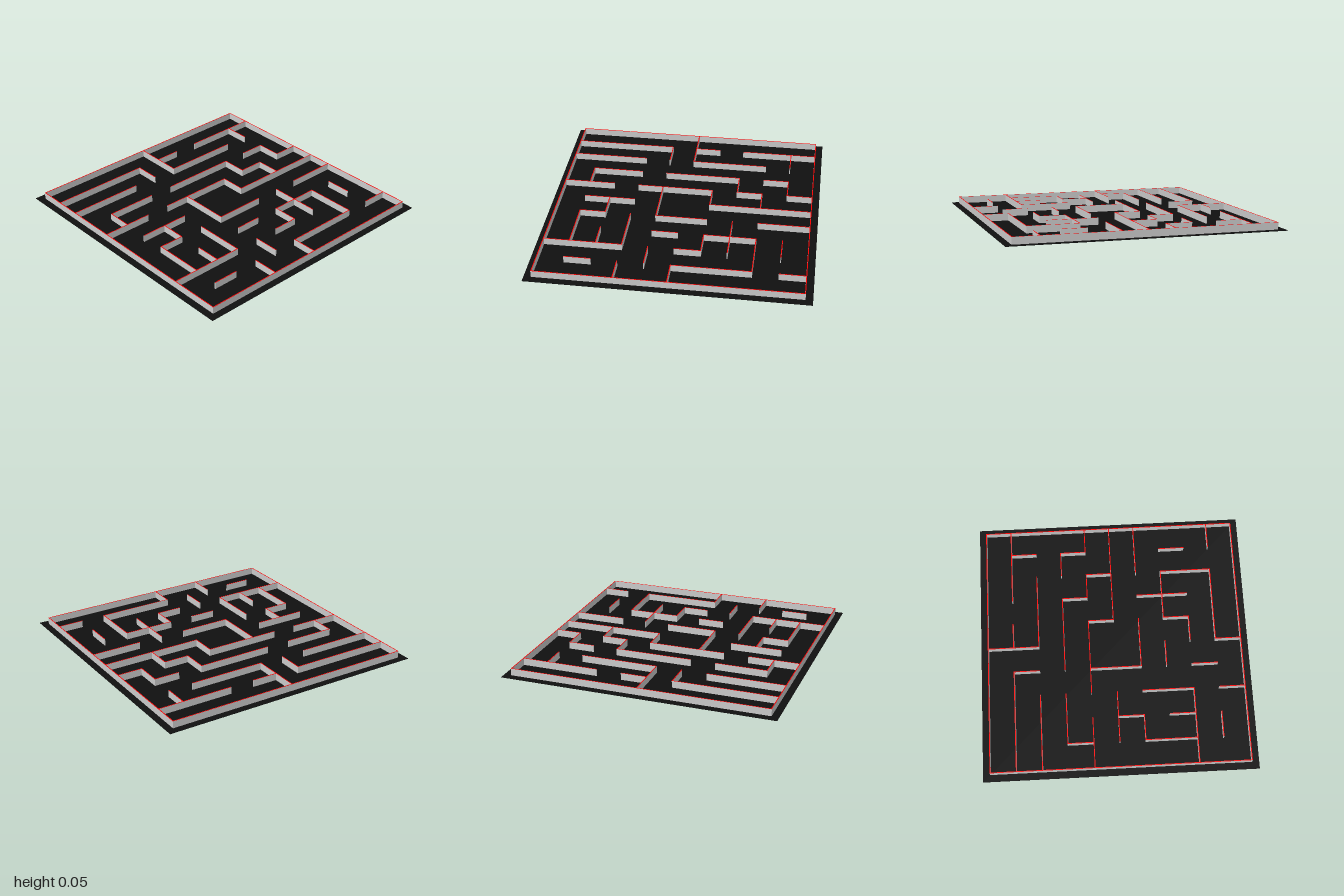
import * as THREE from 'three';

const CELL = 0.189, HALF = 5, THICK = 0.006;
const FLOOR = 0.002, TOP = 0.054, CAP = 0.001;

// Wall runs as [start, end] in cells, one list per grid line
const ROWS = [ // along x, from back to front
  [[0, 10]],
  [[1, 2], [3, 4], [7, 8]],
  [[4, 5], [7, 9]],
  [[3, 4], [6, 8]],
  [[4, 5], [7, 8]],
  [[0, 2], [9, 10]],
  [[1, 2], [4, 6], [8, 9]],
  [[6, 8], [9, 10]],
  [[5, 6], [7, 8]],
  [[3, 4], [6, 8]],
  [[0, 10]],
];
const COLUMNS = [ // along z, from -x to +x
  [[0, 10]],
  [[0, 3], [4, 5], [6, 10]],
  [[2, 5], [7, 10]],
  [[1, 2], [3, 6], [7, 9]],
  [[0, 1], [2, 3], [4, 7], [8, 10]],
  [[0, 4], [7, 9]],
  [[0, 2], [4, 6], [8, 9]],
  [[2, 4], [5, 6]],
  [[4, 5], [7, 10]],
  [[0, 1], [2, 5], [8, 9]],
  [[0, 10]],
];

export function createModel() {
  const model = new THREE.Group();
  model.name = 'maze';
  const grey = new THREE.MeshStandardMaterial({ color: 0xcccccc });
  const red = new THREE.MeshStandardMaterial({ color: 0xff0000 });
  const black = new THREE.MeshStandardMaterial({ color: 0x101010 });

  const addBox = (parent, name, material, [w, d], y0, y1) => {
    const mesh = new THREE.Mesh(new THREE.BoxGeometry(w, y1 - y0, d), material);
    mesh.position.y = (y0 + y1) / 2;
    mesh.name = name;
    parent.add(mesh);
  };

  // Floor slab
  addBox(model, 'floor', black, [2, 2], 0, FLOOR);

  // Each wall is a grey body with a red top edge
  const addWall = (line, [start, end], alongX) => {
    const wall = new THREE.Group();
    const across = (line - HALF) * CELL;
    const middle = ((start + end) / 2 - HALF) * CELL;
    const length = (end - start) * CELL + THICK;
    const size = alongX ? [length, THICK] : [THICK, length];
    wall.name = line % 10 === 0 ? 'outerWall' : 'innerWall';
    wall.position.set(alongX ? middle : across, 0, alongX ? across : middle);
    addBox(wall, 'wallBody', grey, size, FLOOR, TOP - CAP);
    addBox(wall, 'wallTop', red, size, TOP - CAP, TOP);
    model.add(wall);
  };
  ROWS.forEach((runs, line) => runs.forEach((run) => addWall(line, run, true)));
  COLUMNS.forEach((runs, line) => runs.forEach((run) => addWall(line, run, false)));

  return model;
}
